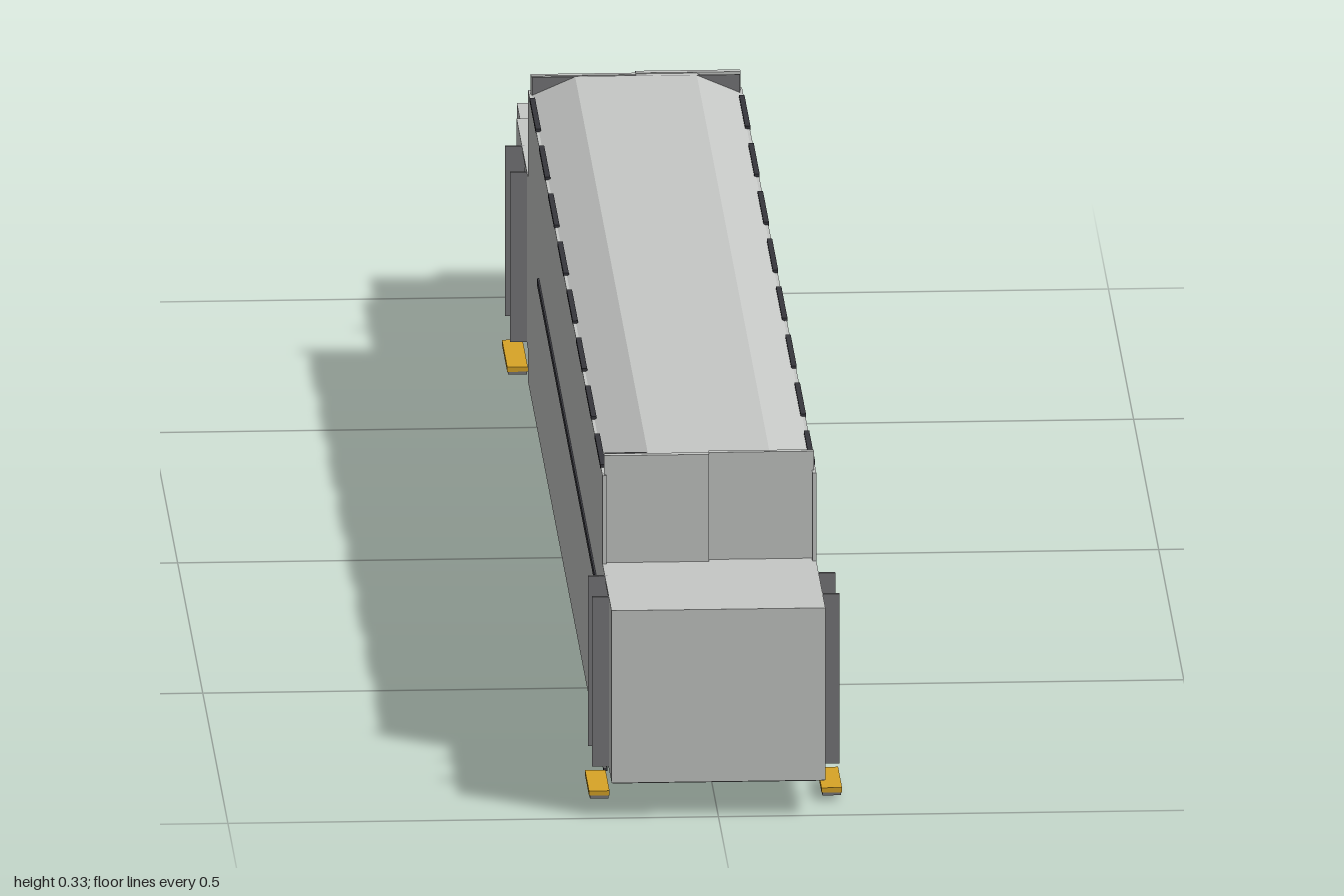
import * as THREE from 'three';

const mat = (name, color, extra = {}) => {
  const m = new THREE.MeshStandardMaterial({ color, ...extra });
  m.name = name;
  return m;
};

export function createModel() {
  const light = mat('bodyGrey', 0xc6c8c6);
  const grey = mat('midGrey', 0x78787a);
  const dark = mat('darkTrim', 0x37373d);
  const yellow = mat('safetyYellow', 0xd9a527);

  const model = new THREE.Group();
  model.name = 'railCar';

  // Box given by its limits on each axis
  const box = (parent, name, m, [x0, x1], [y0, y1], [z0, z1]) => {
    const mesh = new THREE.Mesh(new THREE.BoxGeometry(x1 - x0, y1 - y0, z1 - z0), m);
    mesh.position.set((x0 + x1) / 2, (y0 + y1) / 2, (z0 + z1) / 2);
    mesh.name = name;
    parent.add(mesh);
    return mesh;
  };
  // The same box on both sides of the car
  const pair = (parent, name, m, [x0, x1], y, z) => {
    box(parent, name + 'Left', m, [x0, x1], y, z);
    box(parent, name + 'Right', m, [-x1, -x0], y, z);
  };
  // Shape in x and y, extruded from z0 to z1
  const extrude = (parent, name, m, shape, z0, z1) => {
    const g = new THREE.ExtrudeGeometry(shape, { depth: z1 - z0, bevelEnabled: false });
    const mesh = new THREE.Mesh(g, m);
    mesh.position.z = z0;
    mesh.name = name;
    parent.add(mesh);
  };
  const polygon = (pts) => new THREE.Shape(pts.map(([x, y]) => new THREE.Vector2(x, y)));
  const rect = (w, y0, y1) => polygon([[-w, y0], [w, y0], [w, y1], [-w, y1]]);

  const FRONT = 0.82, REAR = -0.66;

  // Saloon shell: side walls, chamfered roof, two decks
  const saloon = new THREE.Group();
  saloon.name = 'saloon';
  model.add(saloon);
  pair(saloon, 'sideWall', light, [0.105, 0.109], [0.004, 0.312], [REAR, FRONT]);
  pair(saloon, 'sill', dark, [0.104, 0.108], [0, 0.004], [REAR, FRONT]);
  extrude(saloon, 'roof', light, polygon([
    [-0.106, 0.309], [-0.062, 0.327], [0.062, 0.327], [0.106, 0.309],
    [0.106, 0.312], [0.062, 0.331], [-0.062, 0.331], [-0.106, 0.312],
  ].reverse()), REAR + 0.012, FRONT - 0.012);
  box(saloon, 'lowerFloor', dark, [-0.106, 0.106], [0, 0.006], [REAR + 0.11, FRONT - 0.11]);
  box(saloon, 'upperFloor', light, [-0.105, 0.105], [0.166, 0.172], [REAR + 0.2, FRONT - 0.2]);

  // Dark dashes along the eaves
  for (let i = 0; i < 8; i++) {
    const z = REAR + 0.04 + i * 0.184;
    pair(saloon, 'eaveStrip', dark, [0.104, 0.1095], [0.311, 0.315], [z, z + 0.12]);
  }

  // One end of the car, with z measured outward from the end of the saloon
  const buildEnd = (name, length, door, step) => {
    const g = new THREE.Group();
    g.name = name;
    const [d0, d1] = door;

    // Upper bulkhead in two staggered halves, rising past the roof chamfer
    box(g, 'bulkheadRight', light, [-0.107, 0], [0.215, 0.332], [-0.012, -0.004]);
    box(g, 'bulkheadLeft', light, [0, 0.107], [0.215, 0.332], [-0.018, -0.011]);
    box(g, 'bulkheadTrim', grey, [-0.106, 0.106], [0.3, 0.331], [-0.02, -0.0185]);

    // Vestibule floor, roof and walls beside the doors
    box(g, 'vestibuleFloor', grey, [-0.108, 0.108], [0.036, 0.04], [-0.005, length]);
    box(g, 'vestibuleRoof', light, [-0.109, 0.109], [0.215, 0.219], [-0.012, length]);
    pair(g, 'vestibuleWall', light, [0.105, 0.109], [0.038, 0.217], [-0.002, d0]);
    pair(g, 'vestibuleOuterWall', light, [0.105, 0.109], [0.038, 0.217], [d1, length]);

    // Projecting door posts and yellow boarding steps
    for (const z of door) pair(g, 'doorPost', grey, [0.106, 0.126], [0.04, 0.219], [z - 0.002, z + 0.002]);
    pair(g, 'boardingStep', yellow, [0.108, 0.129], [0.008, 0.013], step);
    pair(g, 'boardingStepBase', grey, [0.109, 0.128], [0.005, 0.008], step);

    // Stairs up to the upper deck with yellow nosings
    const n = 6, rise = 0.13 / n, run = 0.03;
    for (let i = 0; i < n; i++) {
      const y = 0.04 + i * rise, z = -0.01 - i * run;
      box(g, 'stair', grey, [-0.104, -0.005], [y, y + rise], [z - run, z]);
      box(g, 'stairNosing', yellow, [-0.103, -0.006], [y + rise - 0.005, y + rise + 0.001], [z - 0.007, z + 0.002]);
    }
    box(g, 'stairPartition', light, [-0.005, 0], [0.006, 0.217], [-0.19, -0.012]);

    // Sloping underside below the stairs, open well beside it
    const slope = box(g, 'stairUnderside', grey, [-0.105, 0], [-0.002, 0.002], [-0.058, 0.058]);
    slope.position.set(-0.0525, 0.02, -0.055);
    slope.rotation.x = -Math.atan2(0.034, 0.11);
    box(g, 'wellWall', light, [0, 0.105], [0.004, 0.168], [-0.115, -0.11]);

    // Belt strip along one flank, meeting this end's left or right side
    box(g, 'beltStrip', dark, [-0.111, -0.108], [0.166, 0.174], [-1.47, -0.22].map((z) => z));
    return g;
  };

  const front = buildEnd('frontEnd', 0.178, [0.045, 0.125], [0.042, 0.122]);
  front.position.z = FRONT;
  const rear = buildEnd('rearEnd', 0.23, [0.025, 0.125], [0.025, 0.13]);
  rear.position.z = REAR;
  rear.rotation.y = Math.PI;
  model.add(front, rear);

  // The belt strips start near the opposite end on each flank
  for (const end of [front, rear]) {
    const strip = end.getObjectByName('beltStrip');
    strip.position.x *= -1;
  }

  // Flat outer wall at the front
  box(front, 'frontWall', light, [-0.109, 0.109], [0.037, 0.219], [0.176, 0.18]);

  // Narrower tail with a passage through its end wall
  const tail = new THREE.Group();
  tail.name = 'tail';
  rear.add(tail);
  pair(tail, 'tailWall', light, [0.1, 0.104], [0.038, 0.21], [0.228, 0.32]);
  box(tail, 'tailRoof', light, [-0.104, 0.104], [0.206, 0.21], [0.228, 0.32]);
  box(tail, 'tailFloor', grey, [-0.104, 0.104], [0.036, 0.04], [0.228, 0.32]);
  box(tail, 'tailLintel', light, [-0.108, 0.108], [0.204, 0.218], [0.226, 0.23]);
  const endWall = rect(0.104, 0.038, 0.21);
  endWall.holes.push(rect(0.028, 0.052, 0.19));
  extrude(tail, 'endWall', light, endWall, 0.317, 0.321);

  // Dark gangway frame
  const frame = rect(0.04, 0.04, 0.202);
  frame.holes.push(rect(0.028, 0.052, 0.19));
  extrude(tail, 'gangwayFrame', dark, frame, 0.321, 0.34);

  return model;
}
